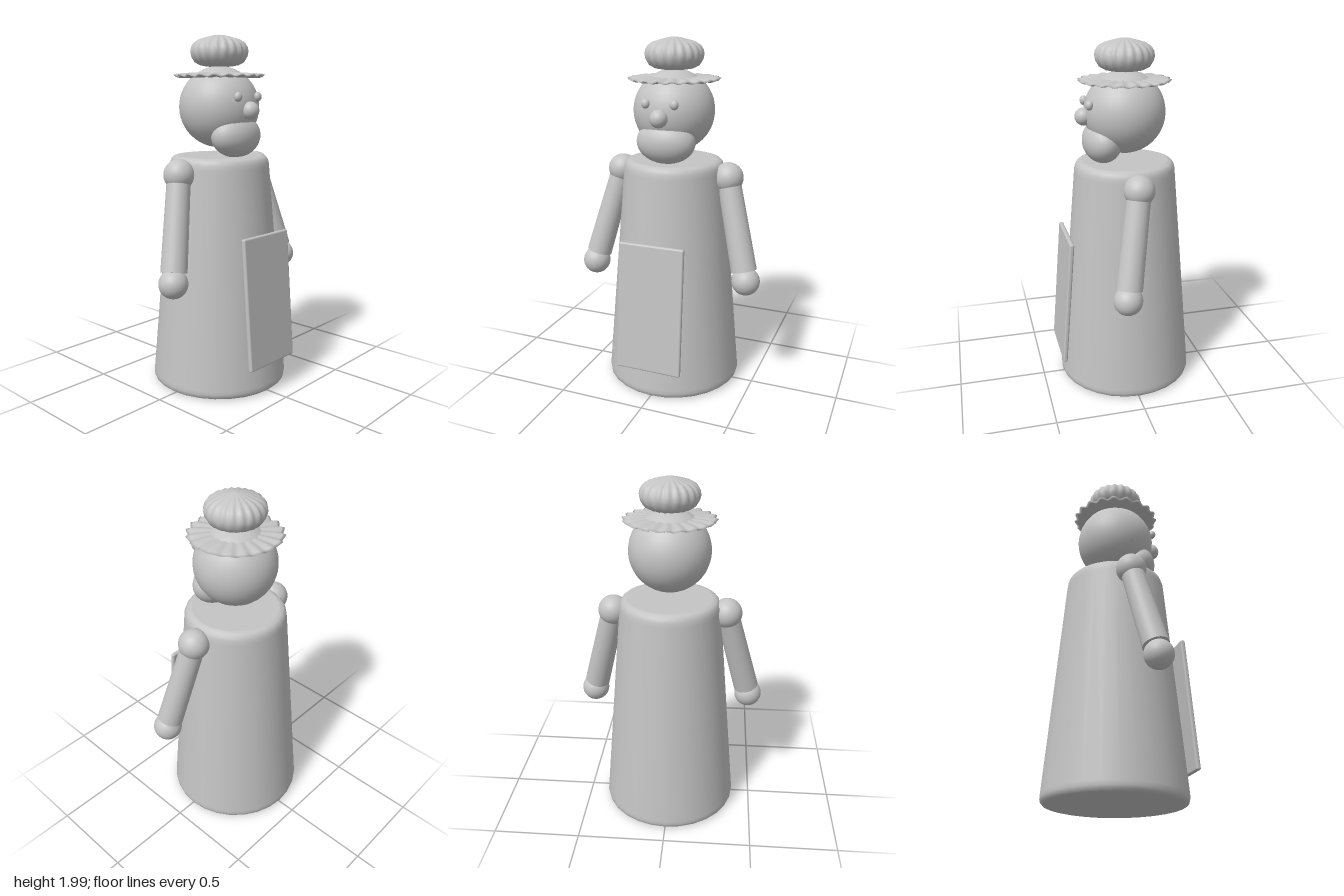
import * as THREE from 'three';
import { RoundedBoxGeometry } from 'three/addons/geometries/RoundedBoxGeometry.js';

const CZ = -0.008; // depth of the body axis

export function createModel() {
  const model = new THREE.Group();
  const grey = new THREE.MeshStandardMaterial({ color: 0xc4c4c4 });
  grey.name = 'plain grey';

  const add = (name, geometry, x, y, z) => {
    const mesh = new THREE.Mesh(geometry, grey);
    mesh.name = name;
    mesh.position.set(x, y, z);
    model.add(mesh);
    return mesh;
  };
  const ball = (name, x, y, z, rx, ry = rx, rz = rx) =>
    add(name, new THREE.SphereGeometry(1, 32, 24).scale(rx, ry, rz), x, y, z);
  const lathe = (points, segments) =>
    new THREE.LatheGeometry(points.map(([r, y]) => new THREE.Vector2(r, y)), segments);

  // Ruffles a lathe: radius and height ripple more towards the rim
  const ruffle = (geometry, lobes, rim, dr, dy) => {
    const p = geometry.attributes.position;
    for (let i = 0; i < p.count; i++) {
      const x = p.getX(i), z = p.getZ(i), r = Math.hypot(x, z);
      if (r < 1e-5) continue;
      const wave = Math.cos(Math.atan2(z, x) * lobes) * Math.pow(Math.min(r / rim, 1), 2);
      const k = (r + dr * wave) / r;
      p.setXYZ(i, x * k, p.getY(i) + dy * wave, z * k);
    }
    geometry.computeVertexNormals();
    return geometry;
  };

  // Robe: tapered cylinder with softened rims
  add('robe', lathe([
    [0, 0.008], [0.36, 0.008], [0.36, 0.008], [0.377, 0.012], [0.388, 0.022], [0.392, 0.04],
    [0.391, 0.06], [0.286, 1.27], [0.283, 1.295], [0.276, 1.315], [0.264, 1.327],
    [0.245, 1.333], [0.24, 1.333], [0, 1.333],
  ], 28), 0, 0, CZ);

  // Apron panel leaning along the robe
  add('apron', new RoundedBoxGeometry(0.38, 0.737, 0.026, 3, 0.01), 0, 0.55, 0.364)
    .rotation.x = -0.08;

  // Head and face
  ball('head', 0, 1.604, CZ, 0.227);
  ball('beard', 0, 1.447, 0.12, 0.168, 0.12, 0.11);
  ball('nose', 0, 1.588, 0.222, 0.049);

  // Paired eyes and arms
  for (const [label, side] of [['left', 1], ['right', -1]]) {
    ball(label + 'Eye', side * 0.082, 1.662, 0.205, 0.024, 0.026, 0.021);

    const shoulder = new THREE.Vector3(side * 0.322, 1.247, CZ);
    const hand = new THREE.Vector3(side * 0.466, 0.685, 0.089);
    ball(label + 'Shoulder', ...shoulder.toArray(), 0.085);
    ball(label + 'Hand', ...hand.toArray(), 0.08);

    const wrist = shoulder.clone().lerp(hand, 0.9);
    const mid = shoulder.clone().lerp(wrist, 0.5);
    const sleeve = add(label + 'Sleeve',
      new THREE.CylinderGeometry(0.065, 0.073, shoulder.distanceTo(wrist), 28),
      mid.x, mid.y, mid.z);
    sleeve.quaternion.setFromUnitVectors(
      new THREE.Vector3(0, 1, 0), shoulder.clone().sub(wrist).normalize());
  }

  // Cap: ruffled brim and pleated puff
  add('capBrim', ruffle(lathe([
    [0, 1.766], [0.12, 1.766], [0.2, 1.768], [0.235, 1.771], [0.251, 1.776],
    [0.235, 1.782], [0.2, 1.787], [0.12, 1.791], [0, 1.791],
  ], 120), 20, 0.25, 0.007, 0.006), 0, 0, CZ);
  add('capPuff', ruffle(lathe([
    [0, 1.825], [0.07, 1.828], [0.11, 1.836], [0.14, 1.853], [0.156, 1.88], [0.161, 1.905],
    [0.156, 1.93], [0.142, 1.953], [0.115, 1.972], [0.07, 1.987], [0.03, 1.997], [0, 2.0],
  ], 120), 20, 0.16, 0.003, 0.004), 0, 0, CZ);

  return model;
}
